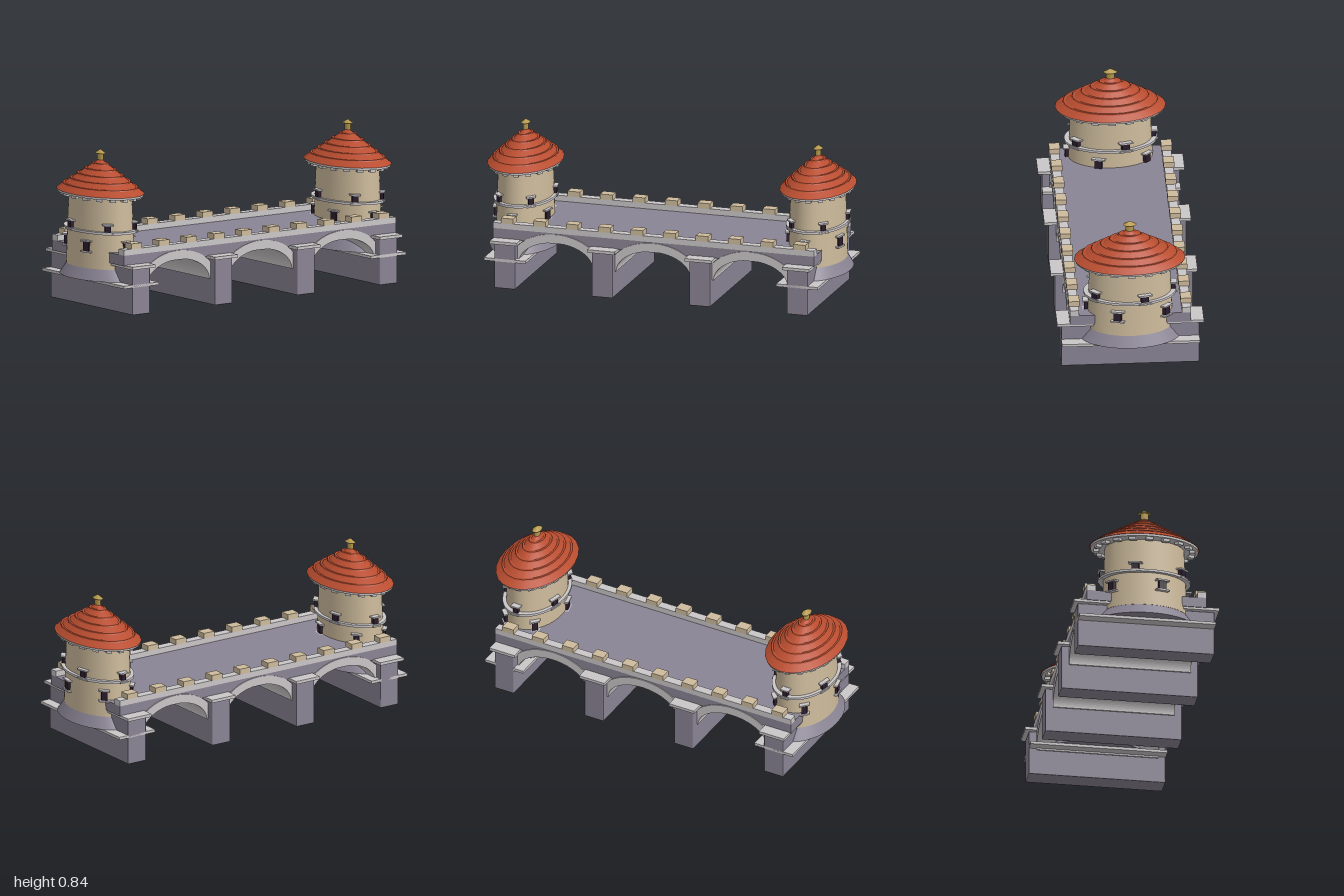
import * as THREE from 'three';
import { RoundedBoxGeometry } from 'three/addons/geometries/RoundedBoxGeometry.js';

const material = (name, color) => {
  const m = new THREE.MeshStandardMaterial({ color });
  m.name = name;
  return m;
};

export function createModel() {
  const stone = material('purple stone', 0x8a8494);
  const trim = material('pale trim', 0xcac6c8);
  const sand = material('sandstone', 0xcdbb9c);
  const tile = material('roof tile', 0xb94d30);
  const gold = material('gold', 0xb5994c);
  const dark = material('dark window', 0x2b1d2e);

  const add = (parent, name, geometry, mat, x = 0, y = 0, z = 0) => {
    const mesh = new THREE.Mesh(geometry, mat);
    mesh.name = name;
    mesh.position.set(x, y, z);
    parent.add(mesh);
    return mesh;
  };
  // Boxes and drums are given by their bottom and top heights
  const box = (parent, name, mat, x, z, w, d, y0, y1) =>
    add(parent, name, new THREE.BoxGeometry(w, y1 - y0, d), mat, x, (y0 + y1) / 2, z);
  const drum = (parent, name, mat, rTop, rBottom, y0, y1, sides = 48) =>
    add(parent, name, new THREE.CylinderGeometry(rTop, rBottom, y1 - y0, sides), mat, 0, (y0 + y1) / 2, 0);

  const model = new THREE.Group();
  model.name = 'fortifiedBridge';

  // Piers with projecting caps
  const bridge = new THREE.Group();
  bridge.name = 'bridge';
  model.add(bridge);
  for (const x of [-0.81, -0.27, 0.27, 0.81]) {
    add(bridge, 'pier', new RoundedBoxGeometry(0.115, 0.245, 0.73, 1, 0.005), stone, x, 0.1225, 0);
    box(bridge, 'pierCap', trim, x, 0, 0.15, 0.776, 0.247, 0.263);
  }

  // Deck, parapets and merlons
  box(bridge, 'deck', stone, 0, 0, 1.78, 0.64, 0.259, 0.315);
  for (const side of [-1, 1]) {
    box(bridge, 'parapet', trim, 0, side * 0.296, 1.78, 0.048, 0.315, 0.346);
    for (let i = 0; i < 10; i++) {
      box(bridge, 'merlon', sand, -0.81 + i * 0.18, side * 0.296, 0.068, 0.058, 0.346, 0.375);
    }
  }

  // Barrel vaults between the piers
  const arch = new THREE.Shape();
  arch.moveTo(0.25, 0);
  arch.absellipse(0, 0, 0.25, 0.172, 0, Math.PI, false, 0);
  arch.lineTo(-0.205, 0);
  arch.absellipse(0, 0, 0.205, 0.125, Math.PI, 0, true, 0);
  arch.closePath();
  const vault = new THREE.ExtrudeGeometry(arch, { depth: 0.65, bevelEnabled: false, curveSegments: 24 });
  for (const x of [-0.54, 0, 0.54]) add(bridge, 'archVault', vault, trim, x, 0.138, -0.325);

  // Window with lintel and sill, facing outward at the given angle
  const addWindow = (parent, angle, y0, y1) => {
    const win = new THREE.Group();
    win.name = 'window';
    win.rotation.y = -angle;
    box(win, 'windowOpening', dark, 0.22, 0, 0.042, 0.04, y0, y1);
    box(win, 'windowLintel', trim, 0.225, 0, 0.05, 0.073, y1, y1 + 0.008);
    box(win, 'windowSill', trim, 0.225, 0, 0.05, 0.073, y0 - 0.008, y0);
    parent.add(win);
  };

  const addTower = (x) => {
    // Lower ledge around the end pier
    box(model, 'pierLedge', trim, x, 0, 0.23, 0.73, 0.147, 0.162);

    // Oval tower: round parts squeezed along x
    const tower = new THREE.Group();
    tower.name = 'tower';
    tower.position.x = x;
    tower.scale.x = 0.655;
    model.add(tower);
    drum(tower, 'towerFoot', stone, 0.226, 0.272, 0.162, 0.222);
    drum(tower, 'towerBody', sand, 0.211, 0.228, 0.222, 0.607);
    drum(tower, 'stringCourse', trim, 0.245, 0.245, 0.41, 0.423);

    // Two staggered rows of five windows
    for (let i = 0; i < 5; i++) {
      const turn = (i * 2 * Math.PI) / 5;
      addWindow(tower, turn + Math.PI / 2, 0.315, 0.364);
      addWindow(tower, turn - Math.PI / 2, 0.417, 0.458);
    }

    // Eave plate with brackets beneath
    drum(tower, 'eavePlate', trim, 0.287, 0.287, 0.603, 0.616);
    for (let i = 0; i < 18; i++) {
      const a = (i * Math.PI) / 9;
      const bracket = box(tower, 'eaveBracket', trim,
        0.256 * Math.cos(a), 0.256 * Math.sin(a), 0.03, 0.04, 0.588, 0.604);
      bracket.rotation.y = -a;
    }

    // Conical roof with projecting tile courses
    drum(tower, 'roof', tile, 0, 0.294, 0.615, 0.788, 24);
    for (let i = 0; i < 5; i++) {
      const r = 0.254 - i * 0.048, y = 0.643 + i * 0.0285;
      drum(tower, 'tileCourse', tile, r - 0.004, r, y, y + 0.006, 24);
    }

    // Finial
    drum(tower, 'finialStem', gold, 0.022, 0.022, 0.78, 0.815, 8);
    drum(tower, 'finialCap', gold, 0, 0.038, 0.815, 0.836, 8);
  };
  addTower(-0.81);
  addTower(0.81);

  return model;
}
